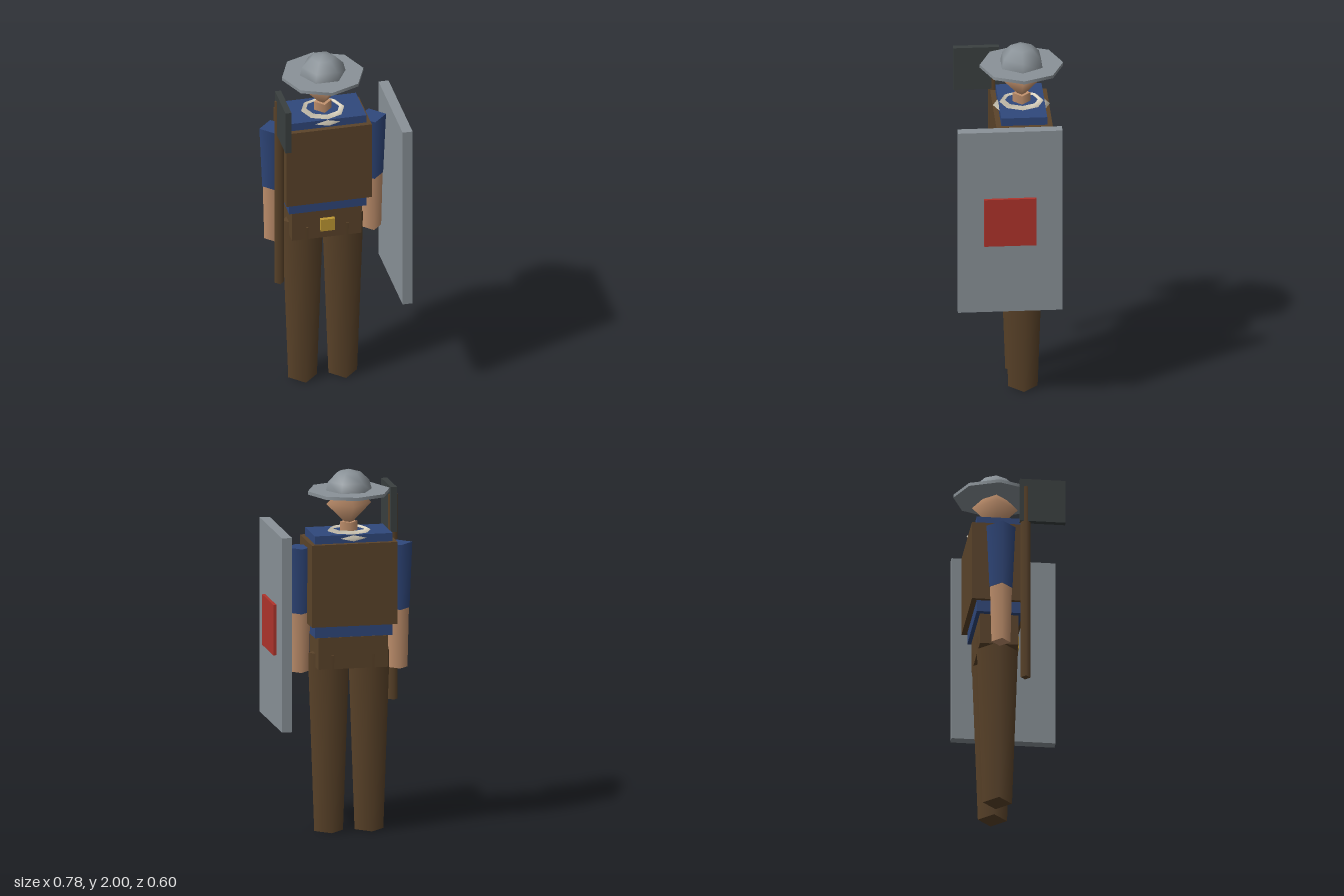
import * as THREE from 'three';

const mat = (name, color) => Object.assign(new THREE.MeshStandardMaterial({ color }), { name });

export function createModel() {
  const leather = mat('brown leather', 0x5c442a);
  const cloth = mat('blue cloth', 0x30487c);
  const skin = mat('skin', 0xc4936f);
  const steel = mat('steel', 0x8a9298);
  const iron = mat('dark iron', 0x3a4040);
  const red = mat('red paint', 0xb0342c);
  const gold = mat('gold', 0xc09a34);
  const bone = mat('bone', 0xe4dcc8);

  const model = new THREE.Group();
  model.name = 'guard';
  const CX = -0.04, CZ = -0.075; // body axis

  const add = (name, geometry, material, x, y, z) => {
    const mesh = new THREE.Mesh(geometry, material);
    mesh.name = name;
    mesh.position.set(x, y, z);
    model.add(mesh);
    return mesh;
  };
  // box given by its limits on each axis
  const box = (name, m, x0, x1, y0, y1, z0, z1) =>
    add(name, new THREE.BoxGeometry(x1 - x0, y1 - y0, z1 - z0), m,
      (x0 + x1) / 2, (y0 + y1) / 2, (z0 + z1) / 2);
  // upright tapered post between two heights
  const post = (name, m, x, z, y0, y1, r0, r1, sides = 4) =>
    add(name, new THREE.CylinderGeometry(r1, r0, y1 - y0, sides), m, x, (y0 + y1) / 2, z);

  // torso
  box('tunic', cloth, -0.256, 0.175, 1.095, 1.66, -0.2, 0.05);
  box('jerkin', leather, -0.278, 0.198, 1.16, 1.615, -0.229, 0.078);
  box('belt', leather, -0.235, 0.152, 0.915, 1.09, -0.18, 0.03);
  box('buckle', gold, -0.08, 0, 0.965, 1.037, 0.025, 0.052);

  // limbs
  for (const [side, s] of [['left', 1], ['right', -1]]) {
    post(side + 'Leg', leather, CX + s * 0.112, CZ, 0, 0.99, 0.08, 0.115);
    post(side + 'Sleeve', cloth, CX + s * 0.274, CZ, 1.217, 1.58, 0.063, 0.079);
    post(side + 'Forearm', skin, CX + s * 0.274, CZ, 0.89, 1.217, 0.052, 0.06);
  }

  // neck, head and necklace
  post('neck', skin, CX, CZ, 1.62, 1.71, 0.049, 0.049);
  add('head', new THREE.SphereGeometry(0.125, 4, 2), skin, CX, 1.81, CZ);
  add('necklace', new THREE.TorusGeometry(0.115, 0.04, 3, 8).rotateX(Math.PI / 2), bone, CX, 1.64, CZ);

  // brimmed helmet
  post('helmetBrim', steel, CX, CZ, 1.867, 1.885, 0.227, 0.227, 8);
  add('helmetDome', new THREE.SphereGeometry(0.132, 6, 3, 0, Math.PI * 2, 0, Math.PI / 2),
    steel, CX, 1.868, CZ);

  // axe on the right
  post('axeShaft', leather, -0.314, 0.06, 0.685, 1.82, 0.027, 0.027);
  box('axeBlade', iron, -0.33, -0.297, 1.615, 1.865, 0.028, 0.277);

  // shield on the left
  box('shield', steel, 0.317, 0.373, 0.595, 1.672, -0.269, 0.3);
  box('shieldPanel', red, 0.37, 0.39, 0.995, 1.275, -0.126, 0.158);

  return model;
}
